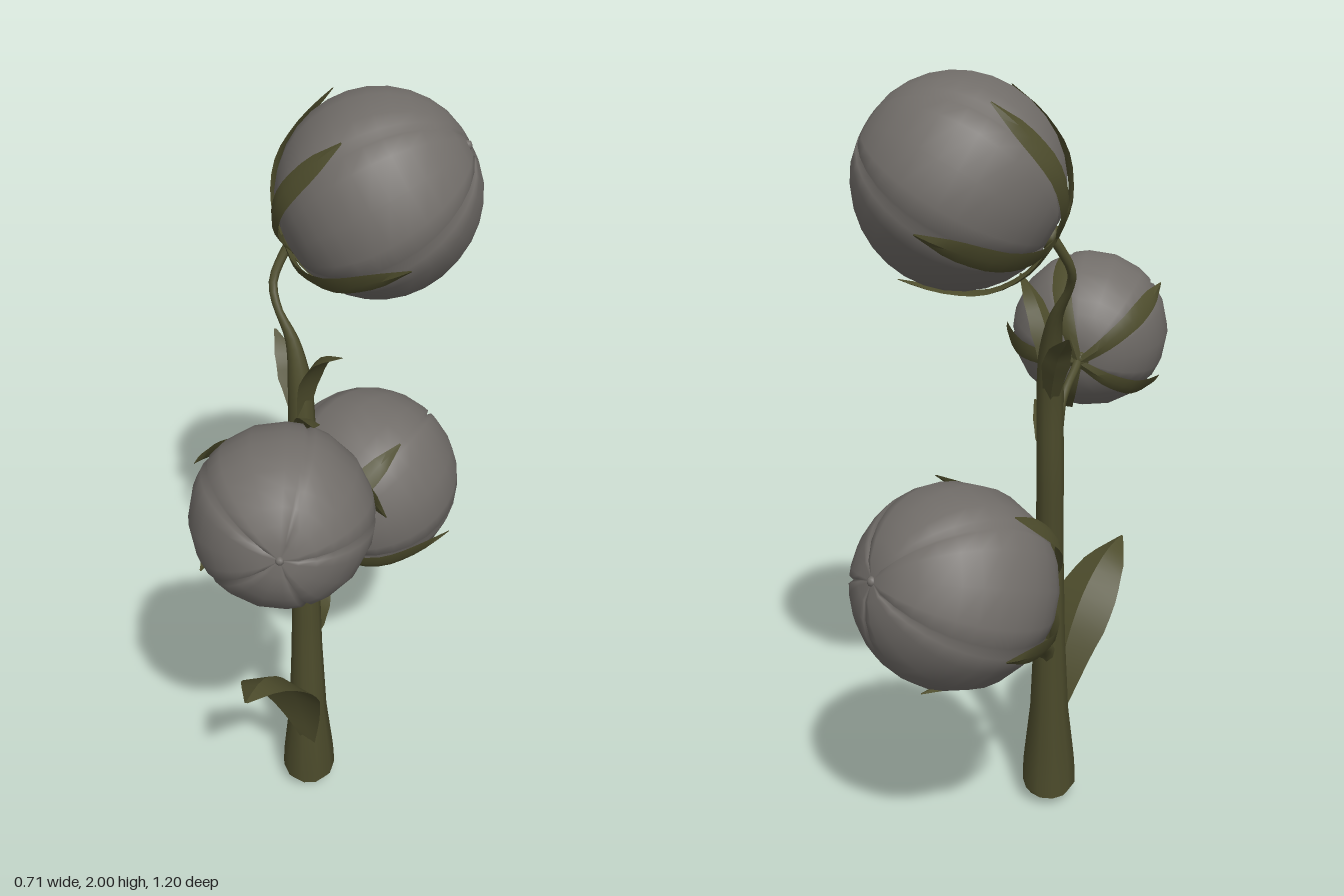
import * as THREE from 'three';
import { mergeVertices, toCreasedNormals } from 'three/addons/utils/BufferGeometryUtils.js';

const V = (a) => new THREE.Vector3(...a);
const curveOf = (pts) => new THREE.CatmullRomCurve3(pts.map(V));

// Linear interpolation in a list of [t, value] knots
function ramp(knots, t) {
  for (let i = 1; i < knots.length; i++) {
    const [t0, v0] = knots[i - 1], [t1, v1] = knots[i];
    if (t <= t1) return v0 + (v1 - v0) * (t - t0) / (t1 - t0);
  }
  return knots[knots.length - 1][1];
}

// Tube whose radius follows the knots along its length
function taperedTube(pts, knots, segs, sides = 10) {
  const curve = curveOf(pts);
  const g = new THREE.TubeGeometry(curve, segs, 1, sides);
  const p = g.attributes.position, v = new THREE.Vector3();
  for (let i = 0; i < p.count; i++) {
    const t = Math.floor(i / (sides + 1)) / segs;
    const c = curve.getPointAt(t);
    v.fromBufferAttribute(p, i).sub(c).multiplyScalar(ramp(knots, t)).add(c);
    p.setXYZ(i, v.x, v.y, v.z);
  }
  return g;
}

// Thin leaf: a flat diamond section swept along a curve; cup bends the midrib
function leafGeometry(pts, widths, across, { cup = 0, thick = 0.006, segs = 10 } = {}) {
  const curve = curveOf(pts), pos = [], index = [];
  const side = V(across).normalize();
  for (let i = 0; i <= segs; i++) {
    const t = i / segs, c = curve.getPoint(t), w = ramp(widths, t);
    const n = curve.getTangent(t).cross(side).normalize();
    const th = Math.min(thick, w * 0.4);
    const ring = [
      c.clone().addScaledVector(side, w),
      c.clone().addScaledVector(n, cup * w + th),
      c.clone().addScaledVector(side, -w),
      c.clone().addScaledVector(n, cup * w - th),
    ];
    ring.forEach((q) => pos.push(q.x, q.y, q.z));
    if (i === segs) continue;
    for (let k = 0; k < 4; k++) {
      const a = i * 4 + k, b = i * 4 + (k + 1) % 4;
      index.push(a, b, a + 4, b, b + 4, a + 4);
    }
  }
  const g = new THREE.BufferGeometry();
  g.setAttribute('position', new THREE.Float32BufferAttribute(pos, 3));
  g.setIndex(index);
  return toCreasedNormals(g, 0.6);
}

// Unit boll around +z, with five narrow grooves running from pole to pole
function bollGeometry(offset) {
  const cols = 30, rows = 16, frac = [0, 0.05, 0.2, 0.5, 0.8, 0.95];
  const g = new THREE.SphereGeometry(1, cols, rows), p = g.attributes.position;
  for (let i = 0; i < p.count; i++) {
    const col = i % (cols + 1), theta = Math.floor(i / (cols + 1)) / rows * Math.PI;
    const phi = offset + (Math.floor(col / 6) + frac[col % 6]) * Math.PI * 0.4;
    const s = Math.sin(theta);
    const r = 1 - 0.045 * (col % 6 === 0 ? 1 : Math.exp(-((s / 0.15) ** 2)));
    p.setXYZ(i, r * s * Math.cos(phi), r * s * Math.sin(phi), r * Math.cos(theta));
  }
  g.deleteAttribute('uv');
  g.deleteAttribute('normal');
  const merged = mergeVertices(g, 1e-4);
  merged.computeVertexNormals();
  return merged;
}

export function createModel() {
  const root = new THREE.Group();
  root.name = 'bollPlant';
  const grey = new THREE.MeshStandardMaterial({ color: 0x716d69 });
  grey.name = 'boll grey';
  const green = new THREE.MeshStandardMaterial({ color: 0x4d4c2c, side: THREE.DoubleSide });
  green.name = 'stem green';

  const add = (parent, name, geometry, material) => {
    const m = new THREE.Mesh(geometry, material);
    m.name = name;
    parent.add(m);
    return m;
  };

  // Main stem, thinning into the stalk of the top boll
  add(root, 'mainStem', taperedTube([
    [-0.09, 0.005, 0.02], [-0.09, 0.15, 0.02], [-0.09, 0.35, 0.014], [-0.09, 0.55, 0.005],
    [-0.09, 0.75, 0], [-0.092, 1, -0.028], [-0.092, 1.2, -0.042], [-0.095, 1.32, -0.06],
    [-0.11, 1.42, -0.09], [-0.145, 1.5, -0.125], [-0.152, 1.55, -0.155], [-0.125, 1.61, -0.18],
    [-0.1, 1.65, -0.19],
  ], [[0, 0], [0.005, 0.045], [0.03, 0.074], [0.075, 0.07], [0.17, 0.052], [0.3, 0.042],
    [0.45, 0.036], [0.72, 0.034], [0.78, 0.03], [0.85, 0.015], [0.88, 0.01], [1, 0.012]], 70), green);

  // Side branches
  add(root, 'middleBranch', taperedTube([
    [-0.09, 0.95, -0.02], [-0.092, 1.03, 0.012], [-0.1, 1.1, 0.045], [-0.115, 1.17, 0.1],
    [-0.135, 1.215, 0.165], [-0.14, 1.235, 0.2],
  ], [[0, 0.022], [0.4, 0.02], [0.6, 0.011], [1, 0.012]], 20, 8), green);
  add(root, 'lowerBranch', taperedTube([
    [-0.09, 0.43, 0.01], [-0.085, 0.5, -0.035], [-0.07, 0.545, -0.1], [-0.06, 0.59, -0.13],
    [-0.06, 0.67, -0.14], [-0.07, 0.72, -0.155], [-0.06, 0.745, -0.19],
  ], [[0, 0.026], [0.35, 0.02], [0.5, 0.011], [1, 0.012]], 22, 8), green);

  // Broad leaf near the foot
  add(root, 'broadLeaf', leafGeometry([
    [-0.088, 0.18, 0.07], [-0.11, 0.32, 0.1], [-0.14, 0.45, 0.15], [-0.175, 0.55, 0.21],
    [-0.215, 0.62, 0.28], [-0.255, 0.655, 0.37],
  ], [[0, 0.012], [0.2, 0.05], [0.45, 0.09], [0.6, 0.088], [0.8, 0.058], [1, 0.004]],
  [1, 0, 0.35], { cup: 0.25, segs: 14 }), green);

  // Small leaves at the forks
  const leaflets = [
    [[[-0.09, 1.22, -0.03], [-0.075, 1.34, -0.012], [-0.045, 1.42, 0.02], [0, 1.478, 0.092]], [1, 0, -0.7]],
    [[[-0.095, 1.2, -0.06], [-0.11, 1.29, -0.1], [-0.125, 1.35, -0.135], [-0.15, 1.395, -0.195]], [1, 0, 0]],
    [[[-0.09, 1.0, 0], [-0.08, 1.05, 0.05], [-0.06, 1.09, 0.1], [-0.03, 1.125, 0.16]], [1, 0, -0.4]],
    [[[-0.088, 0.48, -0.01], [-0.075, 0.55, -0.03], [-0.05, 0.61, -0.042], [-0.02, 0.65, -0.085]], [1, 0, 0.6]],
  ];
  for (const [pts, across] of leaflets) {
    add(root, 'forkLeaf', leafGeometry(pts,
      [[0, 0.018], [0.4, 0.035], [0.7, 0.027], [1, 0.003]], across, { cup: 0.3 }), green);
  }

  // Bolls: centre, radius, direction of the tip, azimuth of the first groove
  const bolls = [
    ['topBoll', [0.103, 1.755, -0.188], 0.247, [0.87, 0.5, 0], -Math.PI / 2],
    ['middleBoll', [-0.152, 1.258, 0.392], 0.21, [-0.05, 0.15, 0.98], 0],
    ['lowerBoll', [0.1, 0.818, -0.345], 0.252, [0.68, 0.32, -0.66], -Math.PI / 2],
  ];
  for (const [name, centre, radius, dir, azimuth] of bolls) {
    const boll = new THREE.Group();
    boll.name = name;
    const a = V(dir).normalize();
    const u = new THREE.Vector3(0, 1, 0).cross(a).normalize();
    boll.quaternion.setFromRotationMatrix(new THREE.Matrix4().makeBasis(u, a.clone().cross(u), a));
    boll.position.copy(V(centre));
    boll.scale.setScalar(radius);
    root.add(boll);

    add(boll, 'bollBody', bollGeometry(azimuth), grey);
    add(boll, 'bollTip', new THREE.SphereGeometry(0.05, 10, 6), grey).position.z = 0.95;
    const cup = add(boll, 'calyx', new THREE.SphereGeometry(0.12, 10, 8), green);
    cup.position.z = -0.98;
    cup.scale.z = 0.6;

    // Five sepals clasping the boll from its base to its equator
    for (let k = 0; k < 5; k++) {
      const az = azimuth + k * Math.PI * 0.4;
      const pts = [[0.03, 1.03], [0.4, 1.05], [0.8, 1.06], [1.2, 1.04], [1.62, 1.11]].map(([th, r]) =>
        [r * Math.sin(th) * Math.cos(az), r * Math.sin(th) * Math.sin(az), -r * Math.cos(th)]);
      add(boll, 'sepal', leafGeometry(pts,
        [[0, 0.05], [0.3, 0.1], [0.6, 0.125], [0.8, 0.11], [1, 0.01]],
        [-Math.sin(az), Math.cos(az), 0], { thick: 0.025, segs: 12 }), green);
    }
  }
  return root;
}
